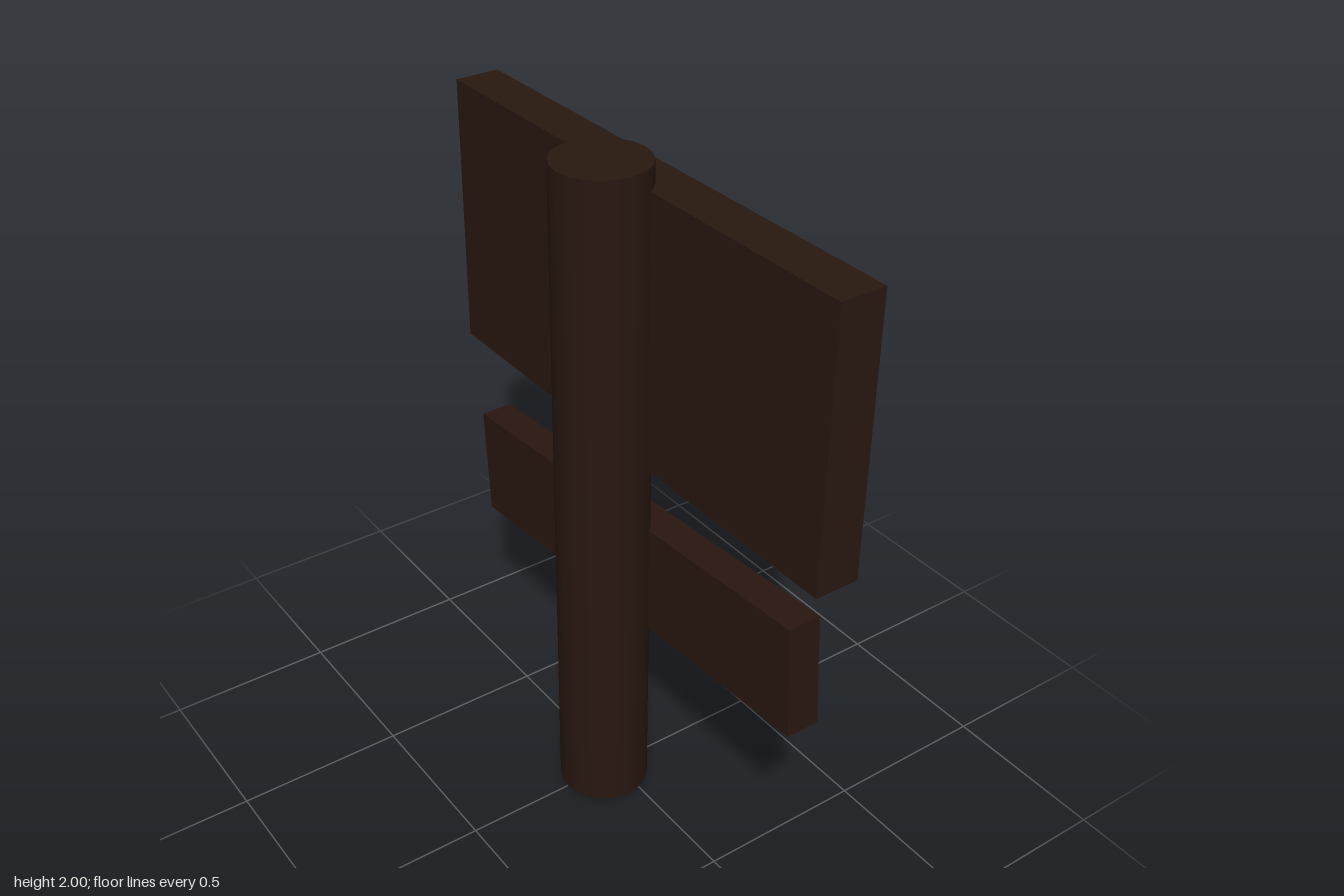
import * as THREE from 'three';

export function createModel() {
  const group = new THREE.Group();
  group.name = 'signpost';
  const wood = new THREE.MeshStandardMaterial({ color: 0x28170f });
  const metal = new THREE.MeshStandardMaterial({ color: 0xcccccc });

  const add = (name, geometry, material, x, y, z) => {
    const mesh = new THREE.Mesh(geometry, material);
    mesh.name = name;
    mesh.position.set(x, y, z);
    group.add(mesh);
    return mesh;
  };

  // Round upright post
  add('post', new THREE.CylinderGeometry(0.132, 0.132, 2, 20), wood, -0.04, 1, 0);

  // Large board, sunk into the post's +x side
  add('mainBoard', new THREE.BoxGeometry(0.132, 0.8, 1.6), wood, 0.094, 1.537, 0);

  // Small tilted board
  const plank = add('tiltedBoard', new THREE.BoxGeometry(0.1, 0.34, 1.48), wood, 0.098, 0.738, -0.032);
  plank.rotation.x = -0.073;

  // Nail the small board hangs from
  const nail = add('nail', new THREE.CylinderGeometry(0.025, 0.025, 0.12, 16), metal, 0.11, 0.843, -0.04);
  nail.rotation.z = -Math.PI / 2;

  return group;
}
